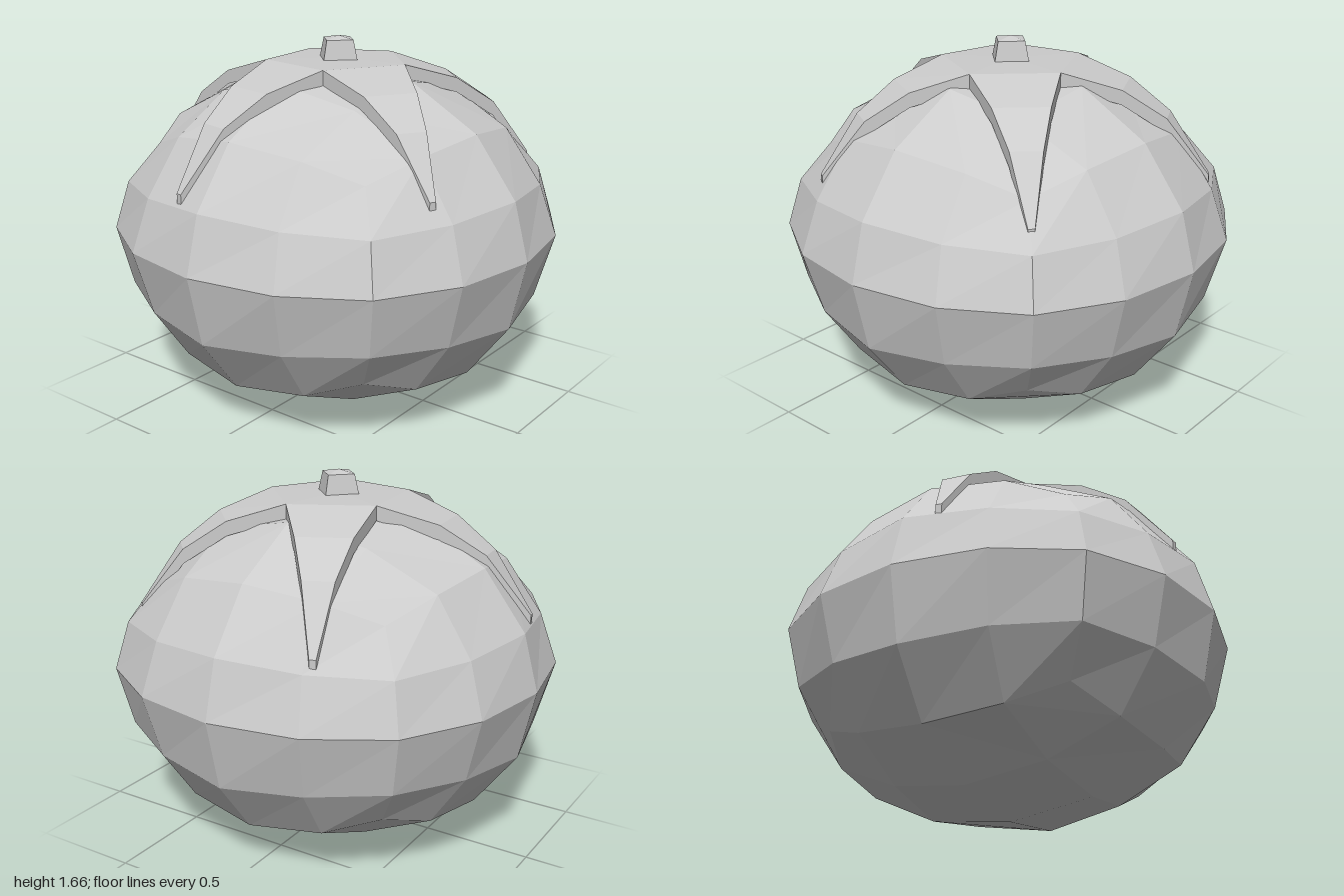
import * as THREE from 'three';

const grey = new THREE.MeshStandardMaterial({ color: 0xcccccc, flatShading: true, side: THREE.DoubleSide });

// Piecewise linear lookup through [input, output] pairs
function lookup(table, v) {
  for (let i = 1; i < table.length; i++) {
    const [a, fa] = table[i - 1], [b, fb] = table[i];
    if (v <= b || i === table.length - 1) return fa + ((v - a) / (b - a)) * (fb - fa);
  }
}

// Squashed sphere made from a 4 x 4 x 4 cube, flatter on its upper half
function makeBody() {
  const geo = new THREE.BoxGeometry(2, 2, 2, 4, 4, 4);
  const pos = geo.attributes.position;
  const upper = [[0, 0], [0.4, 0.255], [0.735, 0.515], [0.93, 0.7], [1, 0.73]];
  const p = new THREE.Vector3();
  for (let i = 0; i < pos.count; i++) {
    p.fromBufferAttribute(pos, i);
    const c = p.toArray().map((v) => Math.round(v * 2) / 2);
    const ones = c.filter((v) => Math.abs(v) === 1).length;
    const zeros = c.filter((v) => v === 0).length;
    const half = ones > 1 ? 0.5 : 0.43;
    const radius = ones === 2 ? (zeros ? 1.035 : 1.025) : ones === 1 && zeros === 1 ? 1.012 : 1;
    p.fromArray(c.map((v) => (Math.abs(v) === 0.5 ? Math.sign(v) * half : v))).setLength(radius);
    pos.setXYZ(i, p.x, 0.8 + (p.y < 0 ? p.y * 0.8 : lookup(upper, p.y)), p.z);
  }
  geo.computeVertexNormals();
  return geo;
}

// Five-pointed leaf cap draped over the top, with thin side walls
function makeCalyx() {
  const tips = [[0.785, 0.41], [-0.14, 0.89], [-0.895, 0.15], [-0.395, -0.82], [0.635, -0.64]];
  const notches = [[0.14, 0.29], [-0.24, 0.22], [-0.29, -0.16], [0.06, -0.33], [0.33, -0.05]];
  const drape = [[0, 1.565], [0.33, 1.56], [0.54, 1.48], [0.73, 1.345], [0.9, 1.105]];
  const verts = [];
  const tri = (...ps) => ps.forEach((p) => verts.push(p.x, p.y, p.z));
  const quad = (a, b, c, d) => { tri(a, b, c); tri(a, c, d); };
  const down = (p) => new THREE.Vector3(p.x, p.y - 0.065, p.z);
  const onTop = (from, to, t) => {
    const x = from[0] + (to[0] - from[0]) * t, z = from[1] + (to[1] - from[1]) * t;
    return new THREE.Vector3(x, lookup(drape, Math.hypot(x, z)), z);
  };
  const centre = new THREE.Vector3(0, 1.565, 0);

  tips.forEach(([tx, tz], i) => {
    const na = notches[(i + 4) % 5], nb = notches[i];
    const len = Math.hypot(tx, tz), w = 0.014;
    const ta = [tx + (tz / len) * w, tz - (tx / len) * w];
    const tb = [tx - (tz / len) * w, tz + (tx / len) * w];
    const rows = [0, 0.4, 0.7, 1].map((t) => [onTop(na, ta, t), onTop(nb, tb, t)]);
    tri(centre, rows[0][1], rows[0][0]);
    for (let r = 0; r < 3; r++) {
      const [a0, b0] = rows[r], [a1, b1] = rows[r + 1];
      quad(a0, b0, b1, a1);
      quad(a0, a1, down(a1), down(a0));
      quad(b0, down(b0), down(b1), b1);
    }
    const [a, b] = rows[3];
    quad(a, b, down(b), down(a));
  });
  const geo = new THREE.BufferGeometry();
  geo.setAttribute('position', new THREE.Float32BufferAttribute(verts, 3));
  geo.computeVertexNormals();
  return geo;
}

// Short four-sided stem with a slightly peaked top
function makeStem() {
  const profile = [[0.11, 1.55], [0.085, 1.65], [0, 1.665]].map(([r, y]) => new THREE.Vector2(r, y));
  return new THREE.LatheGeometry(profile, 4);
}

export function createModel() {
  const group = new THREE.Group();
  const parts = { fruitBody: makeBody(), leafCap: makeCalyx(), stem: makeStem() };
  for (const [name, geo] of Object.entries(parts)) {
    const mesh = new THREE.Mesh(geo, grey);
    mesh.name = name;
    group.add(mesh);
  }
  return group;
}
